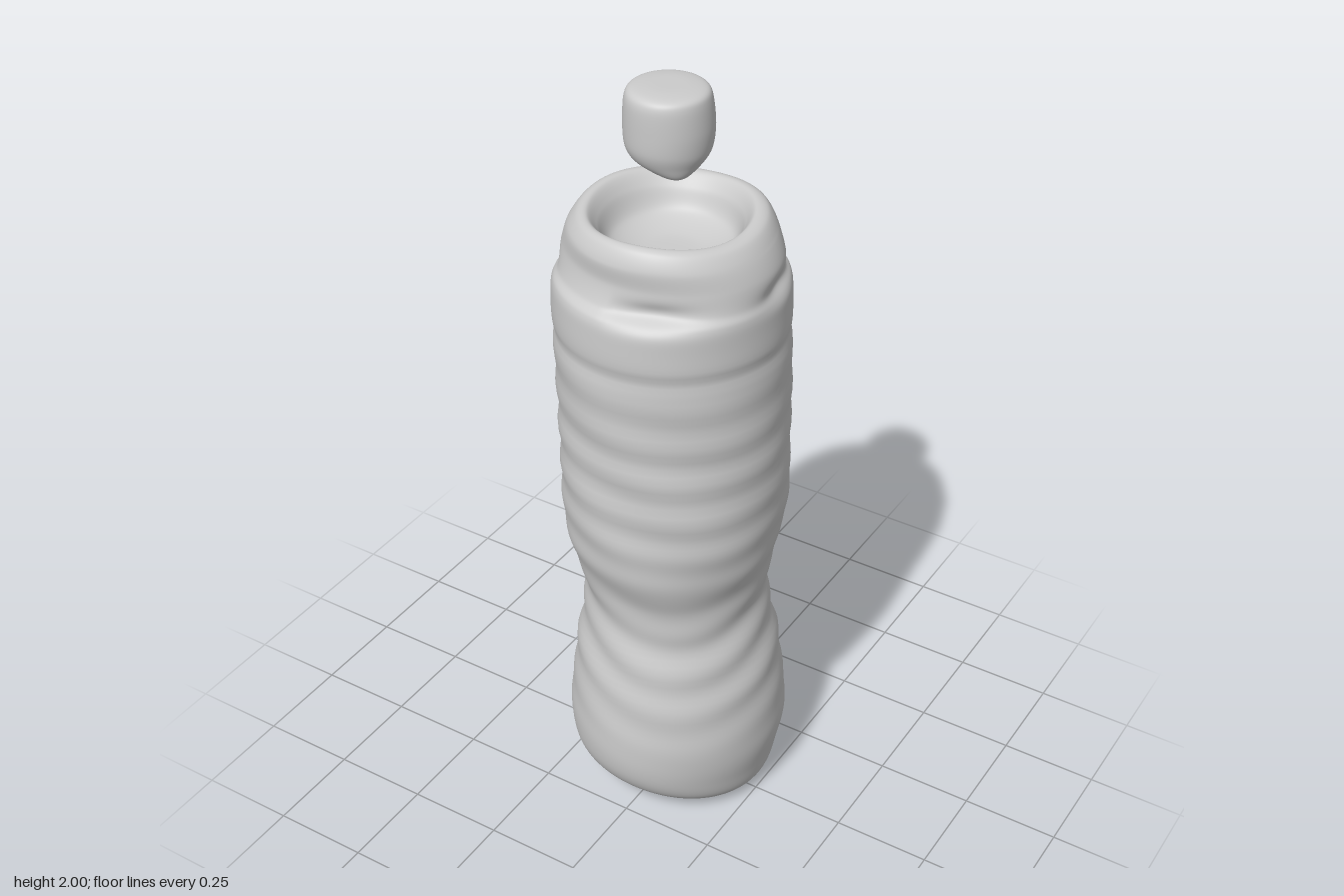
import * as THREE from 'three';
import { mergeVertices } from 'three/addons/utils/BufferGeometryUtils.js';

const SEGMENTS = 96;

// Skin elliptical cross-sections [y, xMin, xMax, zMin, zMax], listed bottom to top along the surface.
function skin(sections, rings, warp) {
  const centres = new THREE.CatmullRomCurve3(
    sections.map(([y, a, b, c, d]) => new THREE.Vector3((a + b) / 2, y, (c + d) / 2)), false, 'catmullrom', 0.45);
  const radii = new THREE.CatmullRomCurve3(
    sections.map(([, a, b, c, d]) => new THREE.Vector3((b - a) / 2, 0, (d - c) / 2)), false, 'catmullrom', 0.45);
  const positions = [], index = [];
  const p = new THREE.Vector3();
  for (let i = 0; i <= rings; i++) {
    const t = i / rings, c = centres.getPoint(t), r = radii.getPoint(t);
    for (let j = 0; j < SEGMENTS; j++) {
      const a = (j / SEGMENTS) * Math.PI * 2;
      p.set(c.x + Math.sin(a) * r.x, c.y, c.z + Math.cos(a) * r.z);
      warp(p, a, t, c);
      positions.push(p.x, p.y, p.z);
      if (i < rings) {
        const k = (j + 1) % SEGMENTS, m = i * SEGMENTS, n = m + SEGMENTS;
        index.push(m + j, m + k, n + k, m + j, n + k, n + j);
      }
    }
  }
  let geometry = new THREE.BufferGeometry();
  geometry.setAttribute('position', new THREE.Float32BufferAttribute(positions, 3));
  geometry.setIndex(index);
  geometry = mergeVertices(geometry, 1e-5);
  geometry.computeVertexNormals();
  return geometry;
}

const bump = (v, centre, width) => Math.exp(-(((v - centre) / width) ** 2));

// Soft ring ribs, slanted waist folds and shoulder dents on the body.
function warpBody(p, a, t, c) {
  const y = p.y, onWall = t < 0.74 ? 1 : 0;
  const ribs = 0.004 * Math.sin(y * 58 + 0.7 * Math.sin(a * 2)) * bump(y, 1.08, 0.28) * (0.65 + 0.35 * Math.cos(a));
  const folds = 0.005 * Math.sin(y * 50 + 2.2 * Math.sin(a * 2 + 0.5)) * bump(y, 0.52, 0.2);
  const groove = -0.005 * bump(y, 1.39, 0.014);
  const lumps = 0.003 * Math.sin(a * 5 + y * 7) * Math.sin(y * 11 + a) * bump(y, 0.8, 0.6);
  const dents = -0.022 * bump(y, 1.55, 0.025) * (bump(a, 0.35, 0.35) + bump(a, 5.0, 0.25) + 0.8 * bump(a, 1.75, 0.3));
  const scale = 1 + onWall * (ribs + folds + groove + lumps + dents) / 0.28;
  p.x = c.x + (p.x - c.x) * scale;
  p.z = c.z + (p.z - c.z) * scale;
  // Tilted, slightly keeled base and an uneven rim
  const fade = Math.max(0, 1 - y / 0.3);
  p.y += fade * (-0.06 * p.x + 0.6 * p.z * p.z);
  p.y += 0.005 * Math.sin(a * 3 + 1) * bump(y, 1.69, 0.04);
}

// The underside of the cap runs down to an off-centre tip.
function warpCap(p, a, t) {
  p.y += 0.004 * Math.sin(a * 2 + 1) * bump(t, 0.4, 0.2);
}

export function createModel() {
  const group = new THREE.Group();
  const material = new THREE.MeshStandardMaterial({ color: 0xcccccc, roughness: 0.8 });
  const add = (name, geometry) => {
    const mesh = new THREE.Mesh(geometry, material);
    mesh.name = name;
    group.add(mesh);
  };

  // Bottle body: base, belly, waist, barrel, shoulder, neck, rim, then down into the mouth
  add('bottleBody', skin([
    [0.012, 0, 0, -0.02, -0.02],
    [0.012, -0.11, 0.11, -0.13, 0.10],
    [0.014, -0.20, 0.20, -0.22, 0.18],
    [0.05, -0.255, 0.245, -0.273, 0.235],
    [0.11, -0.278, 0.262, -0.293, 0.262],
    [0.22, -0.285, 0.28, -0.297, 0.27],
    [0.40, -0.262, 0.265, -0.272, 0.257],
    [0.58, -0.232, 0.232, -0.237, 0.232],
    [0.68, -0.238, 0.236, -0.240, 0.240],
    [0.80, -0.264, 0.262, -0.264, 0.274],
    [0.93, -0.280, 0.278, -0.280, 0.284],
    [1.15, -0.279, 0.281, -0.272, 0.288],
    [1.35, -0.281, 0.281, -0.266, 0.298],
    [1.48, -0.280, 0.281, -0.260, 0.301],
    [1.525, -0.277, 0.279, -0.250, 0.294],
    [1.55, -0.270, 0.272, -0.222, 0.270],
    [1.60, -0.260, 0.266, -0.214, 0.254],
    [1.65, -0.240, 0.245, -0.213, 0.256],
    [1.685, -0.215, 0.220, -0.195, 0.238],
    [1.69, -0.190, 0.190, -0.170, 0.215],
    [1.66, -0.165, 0.170, -0.142, 0.195],
    [1.61, -0.135, 0.145, -0.115, 0.170],
    [1.585, -0.075, 0.080, -0.05, 0.11],
    [1.58, 0, 0, 0.03, 0.03],
  ], 230, warpBody));

  // Floating cap above the mouth
  add('cap', skin([
    [1.792, 0.045, 0.045, 0.065, 0.065],
    [1.805, 0.0, 0.068, 0.025, 0.095],
    [1.83, -0.072, 0.086, -0.035, 0.118],
    [1.86, -0.098, 0.099, -0.064, 0.130],
    [1.91, -0.103, 0.104, -0.070, 0.133],
    [1.97, -0.098, 0.099, -0.064, 0.132],
    [1.992, -0.086, 0.088, -0.052, 0.120],
    [1.999, -0.05, 0.05, -0.02, 0.085],
    [2.0, 0, 0, 0.03, 0.03],
  ], 60, warpCap));

  return group;
}
